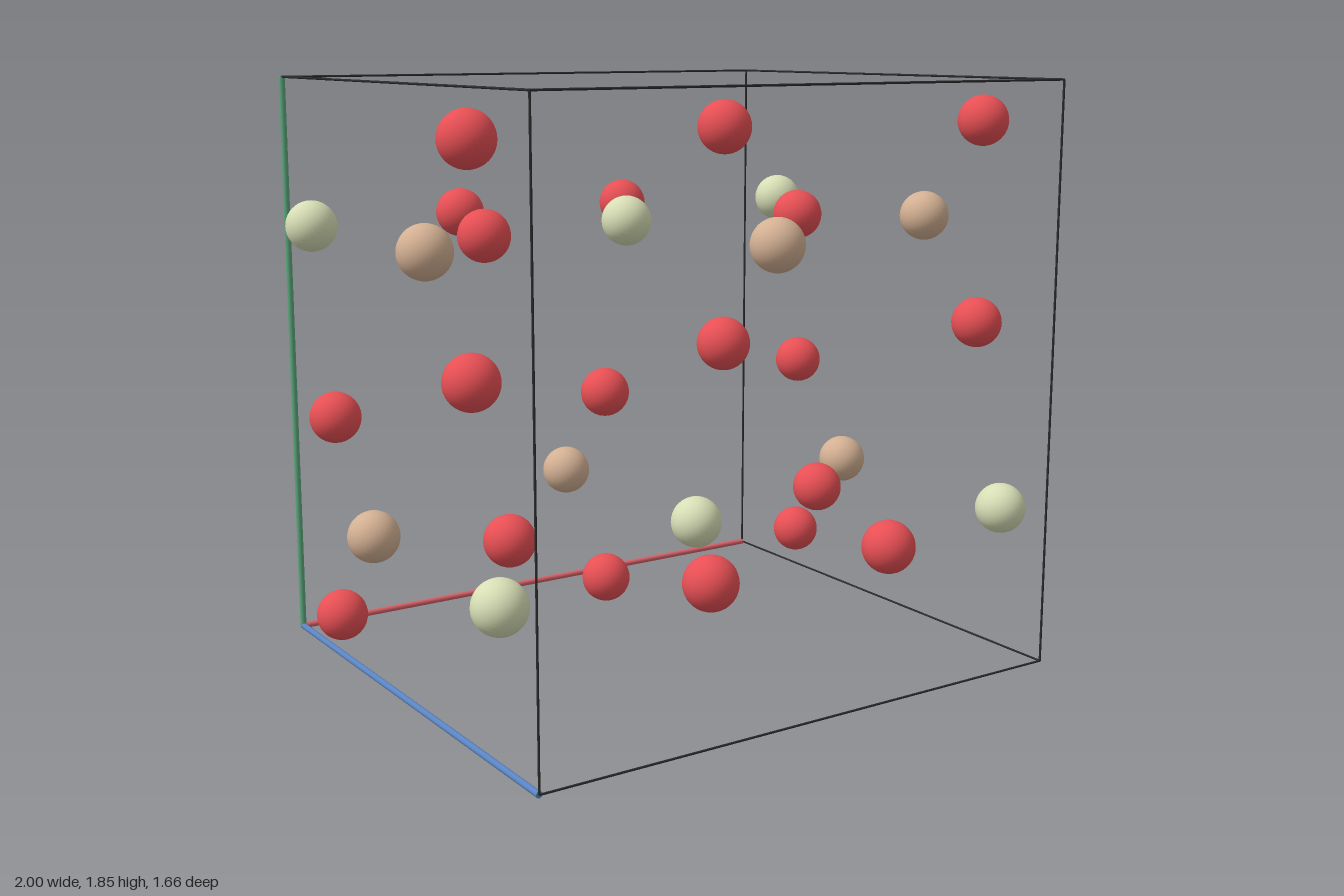
import * as THREE from 'three';

const X = 0.918, H = 0.918, Z = 0.81, CY = 0.928; // half sizes and mid height of the cell
const R = 0.081;                                  // ball radius

function mat(name, color) {
  const m = new THREE.MeshStandardMaterial({ color });
  m.name = name;
  return m;
}

export function createModel() {
  const model = new THREE.Group();
  const red = mat('red', 0xee5257);
  const tan = mat('tan', 0xd3b093);
  const green = mat('pale green', 0xd7deb5);
  const black = mat('dark grey', 0x2b2b2b);
  const axisRed = mat('axis red', 0xd9646a);
  const axisGreen = mat('axis green', 0x5ca67c);
  const axisBlue = mat('axis blue', 0x5a84c2);

  // Balls: each listed offset is repeated by point inversion through the cell centre
  const ball = new THREE.SphereGeometry(R, 32, 20);
  function addBalls(name, material, points) {
    const group = new THREE.Group();
    group.name = name;
    for (const [x, y, z] of points) {
      for (const s of [1, -1]) {
        const mesh = new THREE.Mesh(ball, material);
        mesh.name = name.slice(0, -1);
        mesh.position.set(s * x, CY + s * y, s * z);
        group.add(mesh);
      }
    }
    model.add(group);
  }

  const layer = 0.458;
  const redPoints = [];
  for (const y of [0.783, 0.133]) {
    redPoints.push([-X, y, 0.469], [0, y, 0.343], [X, y, 0.469]);
  }
  for (const s of [-1, 1]) {
    redPoints.push([s * 0.592, layer, -0.065], [s * 0.325, layer, -0.747]);
  }
  addBalls('redBalls', red, redPoints);
  addBalls('tanBalls', tan, [[0, layer, 0.608], [-X, layer, 0.203], [X, layer, 0.203]]);
  addBalls('greenBalls', green, [[0, layer, -0.203], [-X, layer, -0.608], [X, layer, -0.608]]);

  // Cell frame: four edges along each axis; the three meeting at one corner are thick and coloured
  const half = [X, H, Z];
  const axes = [axisRed, axisGreen, axisBlue];
  const frame = new THREE.Group();
  frame.name = 'cellFrame';
  for (let a = 0; a < 3; a++) {
    const b = (a + 1) % 3, c = (a + 2) % 3;
    for (const sb of [-1, 1]) {
      for (const sc of [-1, 1]) {
        const main = sb < 0 && sc < 0;
        const radius = main ? 0.01 : 0.0035;
        const geo = new THREE.CylinderGeometry(radius, radius, 2 * half[a], main ? 16 : 8);
        if (a === 0) geo.rotateZ(-Math.PI / 2);
        if (a === 2) geo.rotateX(Math.PI / 2);
        const mesh = new THREE.Mesh(geo, main ? axes[a] : black);
        mesh.name = main ? 'axisRod' : 'cellEdge';
        const p = [0, 0, 0];
        p[b] = sb * half[b];
        p[c] = sc * half[c];
        mesh.position.set(p[0], p[1] + CY, p[2]);
        frame.add(mesh);
      }
    }
  }
  model.add(frame);
  return model;
}
